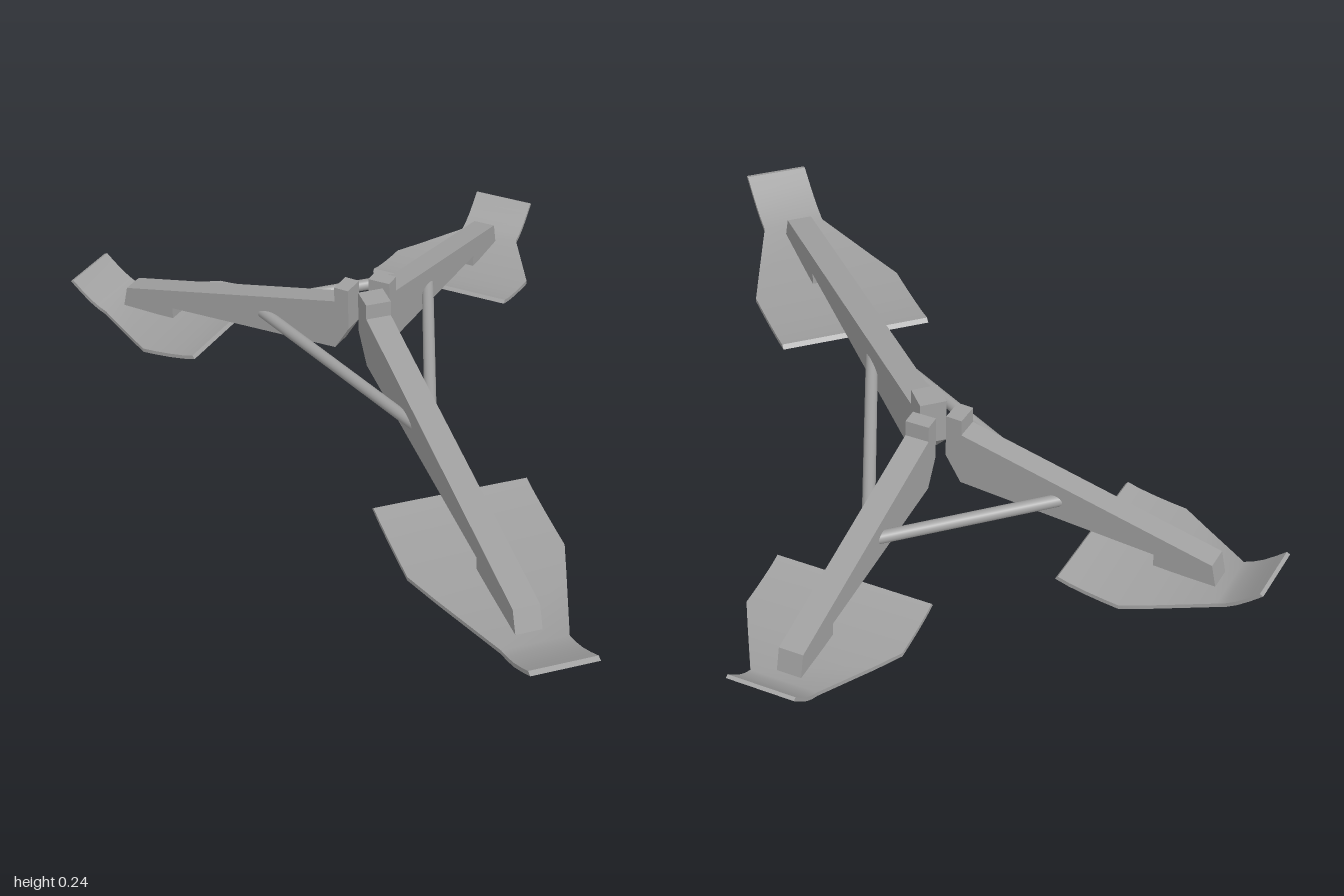
import * as THREE from 'three';
import { toCreasedNormals } from 'three/addons/utils/BufferGeometryUtils.js';

const material = new THREE.MeshStandardMaterial({ color: 0xa0a0a0 });

function add(parent, geometry, name) {
  const mesh = new THREE.Mesh(geometry, material);
  mesh.name = name;
  parent.add(mesh);
  return mesh;
}

// Tapered arm: side profile (distance along leg, height) extruded across its width
function beamGeometry(width) {
  const profile = [
    [0, 0.24], [0.065, 0.24], [0.065, 0.2], [1.1, 0.065], [1.12, 0.01],
    [0.87, 0.01], [0.87, 0.042], [0.065, 0.065], [0, 0.13],
  ].map(([t, y]) => new THREE.Vector2(t, y));
  const g = new THREE.ExtrudeGeometry(new THREE.Shape(profile), { depth: width, bevelEnabled: false });
  return g.translate(0, 0, -width / 2).rotateY(-Math.PI / 2);
}

// Ski: rectangular sections [distance, half width, underside height] joined along the leg
function skiGeometry() {
  const thick = 0.01, endSlant = 0.009;
  const stations = [
    [0.594, 0.19, 0.026], [0.65, 0.19, 0.017], [0.72, 0.19, 0.01], [0.79, 0.19, 0.005],
    [0.85, 0.19, 0.002], [0.95, 0.155, 0], [1.16, 0.08, 0], [1.2, 0.08, 0.011],
    [1.24, 0.08, 0.026], [1.285, 0.08, 0.048], [1.333, 0.08, 0.074],
  ];
  const pos = [], index = [];
  const n = stations.length;
  stations.forEach(([t, w, y], i) => {
    // offset the upper face at right angles to the curve, with slanted end cuts
    const a = stations[Math.max(i - 1, 0)], b = stations[Math.min(i + 1, n - 1)];
    const dt = b[0] - a[0], dy = b[2] - a[2], len = Math.hypot(dt, dy);
    const slant = i === 0 ? endSlant : i === n - 1 ? -endSlant : 0;
    const ut = t - (dy / len) * thick + slant, uy = y + (dt / len) * thick + (slant * dy) / dt;
    pos.push(-w, y, t, w, y, t, w, uy, ut, -w, uy, ut);
    if (i === n - 1) return;
    for (let k = 0; k < 4; k++) {
      const p = i * 4 + k, q = i * 4 + (k + 1) % 4;
      index.push(p, q, q + 4, p, q + 4, p + 4);
    }
  });
  const e = (n - 1) * 4;
  index.push(0, 2, 1, 0, 3, 2, e, e + 1, e + 2, e, e + 2, e + 3);
  const g = new THREE.BufferGeometry();
  g.setAttribute('position', new THREE.Float32BufferAttribute(pos, 3));
  g.setIndex(index);
  return toCreasedNormals(g, Math.PI / 6);
}

function makeLeg(name, x, z, angle, length, width) {
  const leg = new THREE.Group();
  leg.name = name;
  add(leg, beamGeometry(width), 'beam');
  add(leg, skiGeometry(), 'ski');
  leg.position.set(x, 0, z);
  leg.rotation.y = THREE.MathUtils.degToRad(angle);
  leg.scale.z = length;
  return leg;
}

// Round brace between two points
function addStrut(parent, name, from, to) {
  const a = new THREE.Vector3(...from), b = new THREE.Vector3(...to);
  const dir = b.clone().sub(a);
  const strut = add(parent, new THREE.CylinderGeometry(0.015, 0.015, dir.length(), 16), name);
  strut.position.copy(a).add(b).multiplyScalar(0.5);
  strut.quaternion.setFromUnitVectors(new THREE.Vector3(0, 1, 0), dir.normalize());
}

export function createModel() {
  const model = new THREE.Group();
  model.name = 'skiLandingGear';

  // One long front leg and two shorter rear legs
  model.add(makeLeg('frontLeg', 0, -0.333, 0, 1, 0.064));
  for (const [side, s] of [['left', 1], ['right', -1]]) {
    model.add(makeLeg(side + 'RearLeg', s * 0.033, -0.367, s * 136.3, 0.602, 0.058));
    addStrut(model, side + 'Strut', [s * 0.222, 0.1, -0.54], [s * 0.018, 0.1, 0.075]);
  }
  addStrut(model, 'rearStrut', [-0.235, 0.1, -0.586], [0.235, 0.1, -0.586]);
  return model;
}
